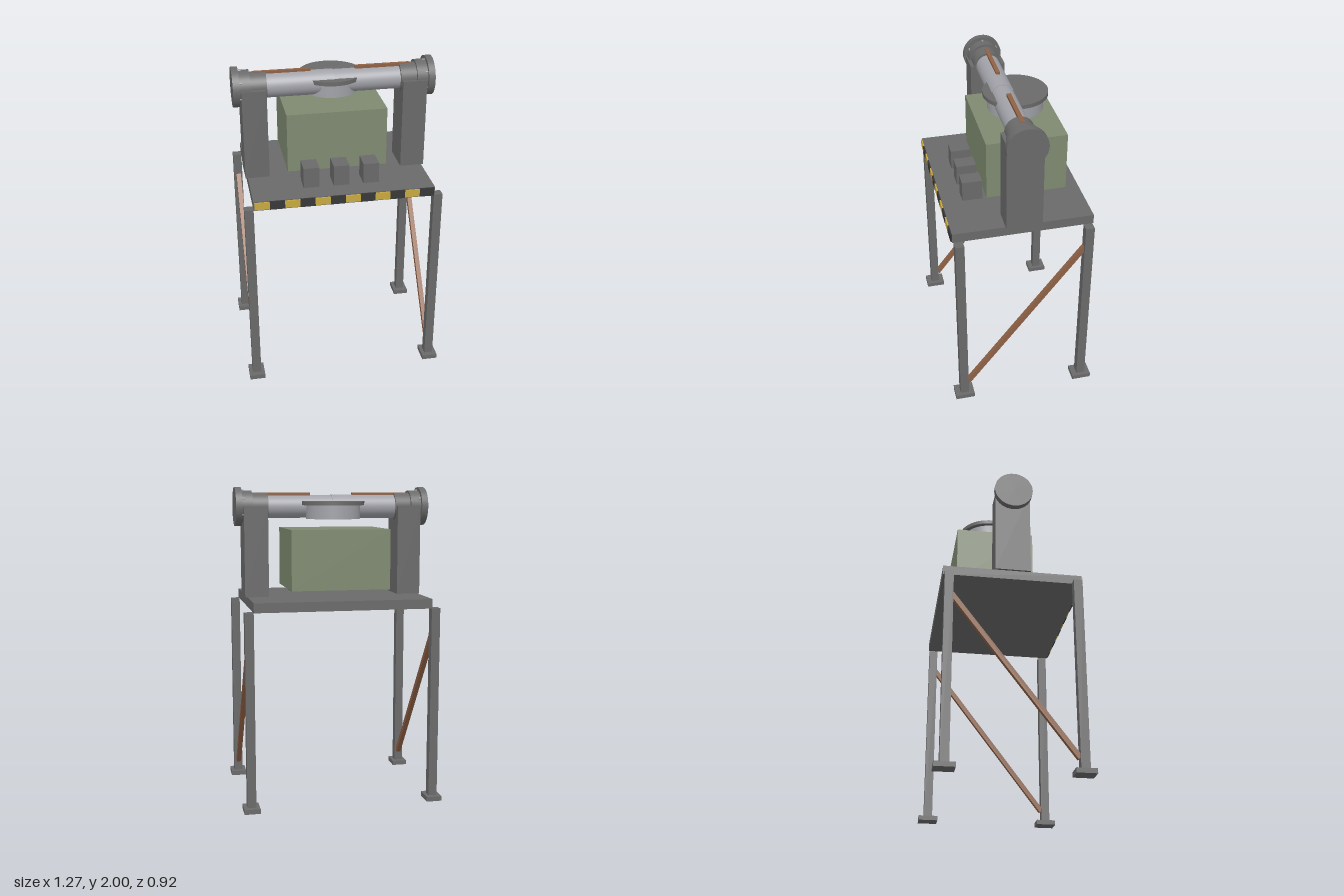
import * as THREE from 'three';

export function createModel() {
  const model = new THREE.Group();
  model.name = 'machineStand';

  const mat = (name, color) => {
    const m = new THREE.MeshStandardMaterial({ color });
    m.name = name;
    return m;
  };
  const steel = mat('dark steel', 0x6a6a6a);
  const metal = mat('light metal', 0xa2a3a9);
  const green = mat('green paint', 0x7f8a71);
  const copper = mat('copper', 0x8f6145);
  const yellow = mat('warning yellow', 0xc8aa40);
  const black = mat('warning black', 0x383838);

  const add = (name, geometry, material, x, y, z) => {
    const mesh = new THREE.Mesh(geometry, material);
    mesh.name = name;
    mesh.position.set(x, y, z);
    model.add(mesh);
    return mesh;
  };
  const box = (name, material, w, h, d, x, y, z) =>
    add(name, new THREE.BoxGeometry(w, h, d), material, x, y, z);
  // Cylinder lying along x, from x0 to x1
  const axle = (name, material, r, x0, x1, y, z, sides = 40) => {
    const mesh = add(name, new THREE.CylinderGeometry(r, r, Math.abs(x1 - x0), sides),
      material, (x0 + x1) / 2, y, z);
    mesh.rotation.z = Math.PI / 2;
    return mesh;
  };

  // Platform
  box('platform', steel, 1.12, 0.06, 0.87, 0, 1.28, 0);

  // Warning stripes along the front edge
  const stripeWidth = 1.11 / 12;
  for (let i = 0; i < 12; i++) {
    const even = i % 2 === 0;
    box(even ? 'yellowStripe' : 'blackStripe', even ? yellow : black,
      stripeWidth, even ? 0.046 : 0.054, 0.009, -0.555 + (i + 0.5) * stripeWidth, 1.281, 0.4395);
  }

  const axisY = 1.877;
  for (const s of [-1, 1]) {
    // Legs and feet
    for (const z of [-0.4, 0.4]) {
      box('leg', steel, 0.055, 1.22, 0.055, s * 0.587, 0.64, z);
      box('foot', steel, 0.1, 0.03, 0.124, s * 0.587, 0.015, z);
    }

    // Diagonal brace, rising towards the back
    const low = new THREE.Vector3(s * 0.585, 0.1, 0.375);
    const high = new THREE.Vector3(s * 0.585, 1.1, -0.38);
    const brace = box('brace', copper, 0.03, low.distanceTo(high), 0.03, s * 0.585, 0.6, -0.0025);
    brace.rotation.x = Math.atan2(high.z - low.z, high.y - low.y);

    // Tube support
    box('support', steel, 0.152, 0.57, 0.223, s * 0.498, 1.595, 0);

    // Stepped collars and end flange
    axle('innerCollar', steel, 0.088, s * 0.415, s * 0.515, axisY, 0);
    axle('outerCollar', steel, 0.102, s * 0.515, s * 0.582, axisY, 0);
    axle('endFlange', steel, 0.123, s * 0.582, s * 0.623, axisY, 0);

    // Flange bolts
    for (let i = 0; i < 6; i++) {
      const a = Math.PI / 6 + i * Math.PI / 3;
      axle('bolt', metal, 0.007, s * 0.564, s * 0.585,
        axisY + 0.1 * Math.sin(a), 0.1 * Math.cos(a), 8);
    }

    // Half of the tube, one half slightly slimmer
    axle('tubeHalf', metal, s < 0 ? 0.076 : 0.072, 0, s * 0.45, axisY, 0);

    // Copper strip on top of the tube
    box('copperStrip', copper, 0.344, 0.02, 0.025, s * 0.311, 1.957, -0.004);
  }

  // Main housing, with the neck and lid above
  box('housing', green, 0.625, 0.375, 0.5, -0.002, 1.5525, -0.077);
  add('neck', new THREE.CylinderGeometry(0.172, 0.172, 0.087, 48), metal, 0, 1.8435, -0.078);
  add('lid', new THREE.CylinderGeometry(0.2, 0.2, 0.025, 48), steel, 0, 1.8985, -0.078);

  // Control blocks at the front
  for (const x of [-0.187, 0, 0.186]) {
    box('controlBlock', steel, 0.098, 0.13, 0.125, x, 1.375, 0.246);
  }

  return model;
}
